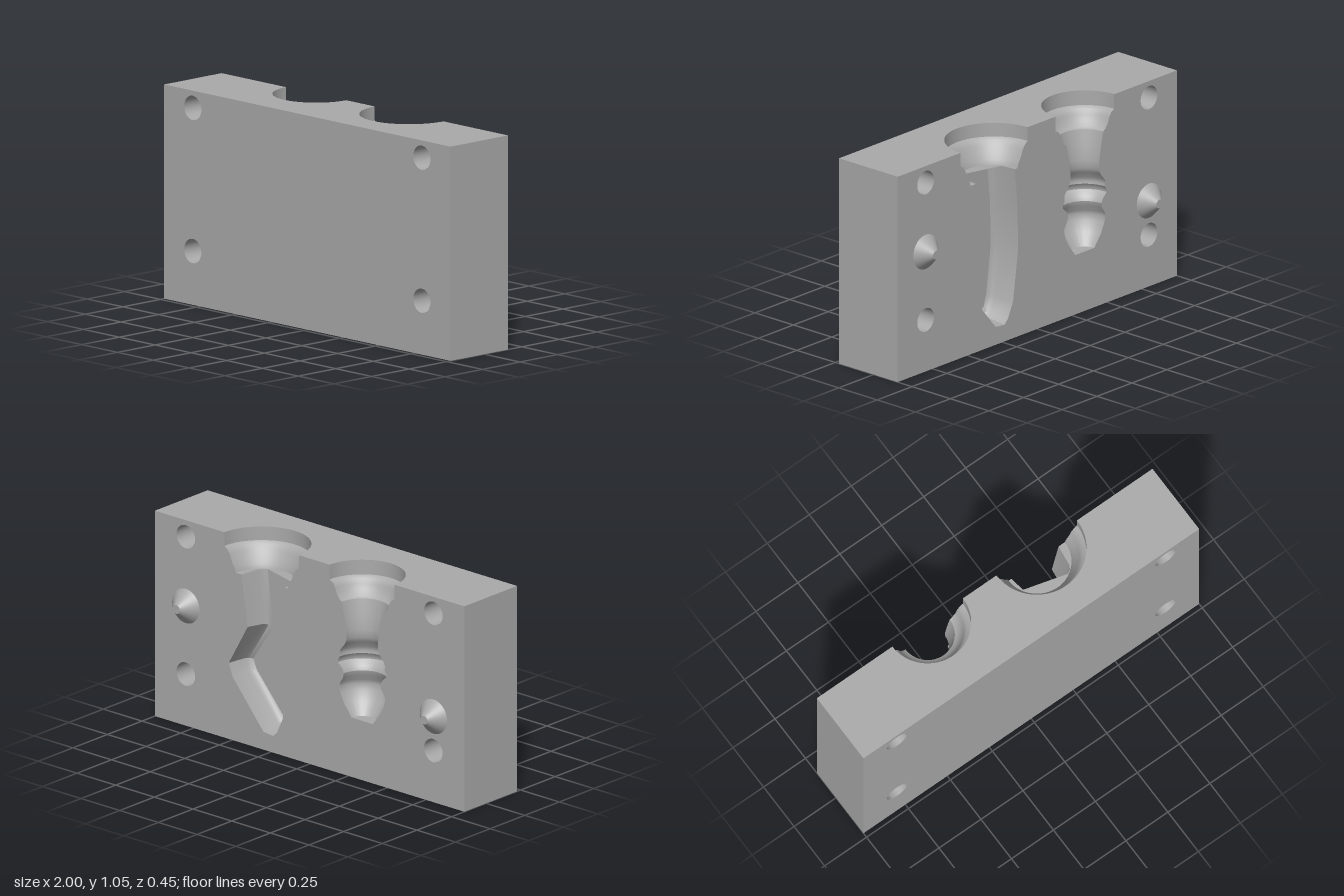
import * as THREE from 'three';
import { toCreasedNormals } from 'three/addons/utils/BufferGeometryUtils.js';

const H = 1.055, ZF = 0.225, ZB = -0.157; // block height, front and back planes
const HOLES = [[-0.8, 0.97], [0.8, 0.97], [-0.8, 0.265], [0.8, 0.265]];
const HOLE_R = 0.06;

// Turned cavities: [radius, depth below the top of the block]
const KX = 0.31, BX = -0.34;
const KNIGHT_BASE = [[0.24, 0], [0.24, 0.07], [0.222, 0.082], [0.205, 0.105], [0.192, 0.14], [0.175, 0.165], [0.168, 0.19]];
const BISHOP = [[0.21, 0], [0.21, 0.075], [0.187, 0.088], [0.174, 0.11], [0.166, 0.135], [0.145, 0.162], [0.131, 0.17],
  [0.114, 0.25], [0.103, 0.32], [0.103, 0.36], [0.113, 0.385], [0.143, 0.42], [0.147, 0.44], [0.144, 0.455],
  [0.157, 0.475], [0.157, 0.487], [0.128, 0.515], [0.119, 0.535], [0.124, 0.56], [0.144, 0.59], [0.148, 0.61],
  [0.14, 0.64], [0.115, 0.69], [0.068, 0.75]];

// Horse-head cavity: opening x, depth, then floor x, depth
const HEAD = [[0.44, 0.19, 0.395, 0.19], [0.4, 0.45, 0.362, 0.482], [0.522, 0.664, 0.488, 0.672], [0.497, 0.73, 0.468, 0.722],
  [0.298, 0.963, 0.288, 0.925], [0.236, 0.969, 0.248, 0.925], [0.211, 0.946, 0.23, 0.91], [0.174, 0.868, 0.212, 0.85],
  [0.137, 0.606, 0.18, 0.606], [0.143, 0.383, 0.185, 0.383], [0.16, 0.19, 0.205, 0.19]];
const HEAD_DEPTH = 0.14;

const toShape = pts => new THREE.Shape(pts.map(p => new THREE.Vector2(p[0], p[1])));

function addHoles(shape, sx) {
  for (const [x, y] of HOLES) {
    shape.holes.push(new THREE.Path().absarc(sx * x, y, HOLE_R, 0, Math.PI * 2, true));
  }
  return shape;
}

// Half circle of points from +x to -x, bulging towards negative v
function halfCircle(cx, cv, r, n = 40) {
  return Array.from({ length: n + 1 }, (_, i) => {
    const a = Math.PI * i / n;
    return [cx + r * Math.cos(a), cv - r * Math.sin(a)];
  });
}

// Point on the wall of the head cavity: t = 0 opening, t = 1 floor
const headPoint = (p, t, z) => [
  THREE.MathUtils.lerp(p[0], p[2], t), H - THREE.MathUtils.lerp(p[1], p[3], t), ZB + z,
];

// Rings of the head cavity from opening to floor
const RINGS = [[0, 0], [0.3, 0.105], [0.55, 0.128], [1, HEAD_DEPTH]];

export function createModel() {
  const group = new THREE.Group();
  const grey = new THREE.MeshStandardMaterial({ color: 0xaaaaaa, side: THREE.DoubleSide });
  grey.name = 'grey';
  const add = (name, geo, x = 0, y = 0, z = 0) => {
    const mesh = new THREE.Mesh(geo, grey);
    mesh.name = name;
    mesh.position.set(x, y, z);
    group.add(mesh);
  };

  // Front face
  const front = addHoles(toShape([[-1, 0], [1, 0], [1, H], [-1, H]]), 1);
  add('frontFace', new THREE.ShapeGeometry(front, 32), 0, 0, ZF);

  // Parting face, notched by both cavity outlines
  const side = (cx, s, profile) => profile.map(([r, d]) => [cx + s * r, H - d]);
  const outline = [
    [-1, 0], [1, 0], [1, H],
    ...side(KX, 1, KNIGHT_BASE), ...HEAD.map(p => [p[0], H - p[1]]), ...side(KX, -1, KNIGHT_BASE).reverse(),
    ...side(BX, 1, BISHOP), ...side(BX, -1, BISHOP).reverse(),
    [-1, H],
  ].map(([x, y]) => [-x, y]);
  const back = new THREE.ShapeGeometry(addHoles(toShape(outline), -1), 32);
  add('partingFace', back.rotateY(Math.PI), 0, 0, ZB);

  // Top face with the two pouring openings
  const top = toShape([[-1, -ZF], [1, -ZF], [1, -ZB],
    ...halfCircle(KX, -ZB, KNIGHT_BASE[0][0]), ...halfCircle(BX, -ZB, BISHOP[0][0]), [-1, -ZB]]);
  add('topFace', new THREE.ShapeGeometry(top).rotateX(-Math.PI / 2), 0, H, 0);

  // Bottom and ends
  const zc = (ZF + ZB) / 2, depth = ZF - ZB;
  add('bottomFace', new THREE.PlaneGeometry(2, depth).rotateX(Math.PI / 2), 0, 0, zc);
  for (const s of [-1, 1]) {
    add(s > 0 ? 'leftEnd' : 'rightEnd', new THREE.PlaneGeometry(depth, H).rotateY(s * Math.PI / 2), s, H / 2, zc);
  }

  // Bolt hole walls
  for (const [x, y] of HOLES) {
    const wall = new THREE.CylinderGeometry(HOLE_R, HOLE_R, depth, 40, 1, true).rotateX(Math.PI / 2);
    add('boltHole', wall, x, y, zc);
  }

  // Conical locating pins
  for (const [x, y] of [[0.8, 0.615], [-0.8, 0.44]]) {
    add('locatingPin', new THREE.CylinderGeometry(0.022, 0.088, 0.068, 48).rotateX(-Math.PI / 2), x, y, ZB - 0.034);
  }

  // Half-round turned cavities
  const lathe = profile => toCreasedNormals(new THREE.LatheGeometry(
    profile.map(([r, d]) => new THREE.Vector2(r, -d)), 40, -Math.PI / 2, Math.PI), 0.6);
  add('turnedCavity', lathe([...BISHOP, [0, 0.75]]), BX, H, ZB);
  add('headBaseCavity', lathe(KNIGHT_BASE), KX, H, ZB);

  // Ledge between the round base and the head cavity
  const [rEnd, dEnd] = KNIGHT_BASE[KNIGHT_BASE.length - 1];
  const section = (p) => RINGS.map(([t, z]) => [headPoint(p, t, z)[0], -ZB - z]);
  const ledge = toShape([...halfCircle(KX, -ZB, rEnd),
    ...section(HEAD[HEAD.length - 1]), ...section(HEAD[0]).reverse()]);
  add('headLedge', new THREE.ShapeGeometry(ledge).rotateX(-Math.PI / 2), 0, H - dEnd, 0);

  // Head cavity walls, built from rings
  const pos = [], idx = [], n = HEAD.length;
  for (const [t, z] of RINGS) for (const p of HEAD) pos.push(...headPoint(p, t, z));
  for (let r = 0; r < RINGS.length - 1; r++) {
    for (let i = 0; i < n - 1; i++) {
      const a = r * n + i, b = a + 1, c = a + n, d = c + 1;
      idx.push(a, b, c, b, d, c);
    }
  }
  const walls = new THREE.BufferGeometry();
  walls.setAttribute('position', new THREE.Float32BufferAttribute(pos, 3));
  walls.setIndex(idx);
  add('headCavityWalls', toCreasedNormals(walls, 0.55));

  // Head cavity floor
  const floor = toShape(HEAD.map(p => [-p[2], H - p[3]]));
  add('headCavityFloor', new THREE.ShapeGeometry(floor).rotateY(Math.PI), 0, 0, ZB + HEAD_DEPTH);

  return group;
}
